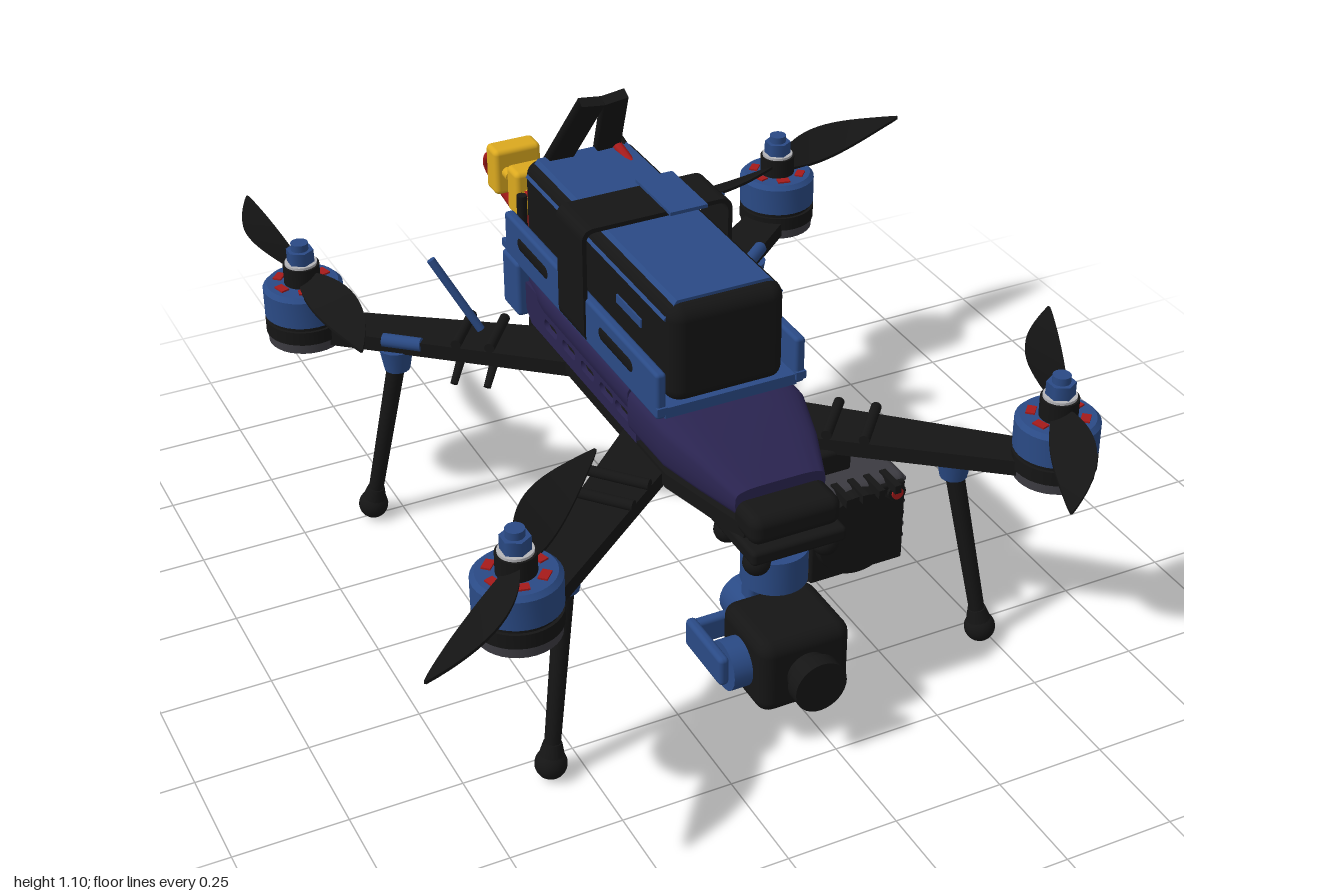
import * as THREE from 'three';
import { toCreasedNormals } from 'three/addons/utils/BufferGeometryUtils.js';
import { RoundedBoxGeometry } from 'three/addons/geometries/RoundedBoxGeometry.js';

const mat = (name, color, side = THREE.FrontSide) => {
  const m = new THREE.MeshStandardMaterial({ color, side });
  m.name = name;
  return m;
};
const V = (x, y, z) => new THREE.Vector3(x, y, z);
const CX = -0.05; // centre line of the airframe

export function createModel() {
  const black = mat('black', 0x151515), blue = mat('blue', 0x2a4a85), purple = mat('hull purple', 0x2a2450);
  const grey = mat('dark grey', 0x3c3b41), yellow = mat('yellow', 0xdba91f), red = mat('red', 0xa51a1a);
  const silver = mat('silver', 0xb4b4b8);
  const root = new THREE.Group();
  root.name = 'quadcopter';

  const add = (name, geo, m, x = 0, y = 0, z = 0, parent = root) => {
    const mesh = new THREE.Mesh(geo, m);
    mesh.name = name;
    mesh.position.set(x, y, z);
    parent.add(mesh);
    return mesh;
  };
  // box given by its limits, rounded when r > 0
  const box = (name, m, x0, x1, y0, y1, z0, z1, r = 0) => {
    const s = [x1 - x0, y1 - y0, z1 - z0];
    return add(name, r ? new RoundedBoxGeometry(...s, 3, r) : new THREE.BoxGeometry(...s), m,
      (x0 + x1) / 2, (y0 + y1) / 2, (z0 + z1) / 2);
  };
  // straight rod between two points
  const rod = (name, m, a, b, r0, r1 = r0, n = 16) => {
    const d = b.clone().sub(a);
    const mesh = add(name, new THREE.CylinderGeometry(r1, r0, d.length(), n), m);
    mesh.position.copy(a).lerp(b, 0.5);
    mesh.quaternion.setFromUnitVectors(V(0, 1, 0), d.normalize());
    return mesh;
  };
  const cable = (name, m, pts, r) =>
    add(name, new THREE.TubeGeometry(new THREE.CatmullRomCurve3(pts), 24, r, 8), m);
  // flat plate from an outline in x, z
  const plate = (name, m, pts, yTop, h) => {
    const g = new THREE.ExtrudeGeometry(new THREE.Shape(pts.map(p => new THREE.Vector2(...p))), { depth: h, bevelEnabled: false });
    return add(name, g.rotateX(Math.PI / 2), m, 0, yTop, 0);
  };
  // body lofted through rounded sections [z, half width, bottom, top]
  const loft = (sections, n = 32) => {
    const pos = [], idx = [], pw = v => Math.sign(v) * Math.abs(v) ** 0.45;
    for (const [z, w, y0, y1] of sections)
      for (let j = 0; j < n; j++) {
        const a = j / n * Math.PI * 2;
        pos.push(CX + w * pw(Math.cos(a)), (y0 + y1) / 2 + (y1 - y0) / 2 * pw(Math.sin(a)), z);
      }
    const last = sections.length - 1;
    for (let j = 0; j < n; j++) {
      const k = (j + 1) % n;
      for (let i = 0; i < last; i++) {
        const a = i * n + j, b = i * n + k;
        idx.push(a, b, a + n, b, b + n, a + n);
      }
      if (j && k) idx.push(0, k, j, last * n, last * n + j, last * n + k);
    }
    const g = new THREE.BufferGeometry();
    g.setAttribute('position', new THREE.Float32BufferAttribute(pos, 3));
    g.setIndex(idx);
    return toCreasedNormals(g, 0.7);
  };

  // hull: solid upper shell and nose, slotted skirts below
  add('hull', loft([[-0.38, 0.15, 0.58, 0.66], [-0.25, 0.17, 0.585, 0.665], [0.2, 0.172, 0.585, 0.665]]), purple);
  add('nose', loft([[0.2, 0.172, 0.53, 0.665], [0.36, 0.17, 0.53, 0.66], [0.47, 0.14, 0.53, 0.635], [0.57, 0.105, 0.53, 0.595]]), purple);
  const skirt = new THREE.Shape([[-0.38, 0.56], [-0.34, 0.525], [0.22, 0.525], [0.22, 0.62], [-0.38, 0.62]].map(p => new THREE.Vector2(...p)));
  for (const z of [-0.23, -0.13, -0.03, 0.07, 0.15]) {
    const w = 0.022, hole = new THREE.Path();
    hole.absarc(z + w, 0.567, 0.013, -Math.PI / 2, Math.PI / 2);
    hole.absarc(z - w, 0.567, 0.013, Math.PI / 2, Math.PI * 1.5);
    skirt.holes.push(hole);
  }
  for (const s of [-1, 1])
    add('hull skirt', new THREE.ExtrudeGeometry(skirt, { depth: 0.012, bevelEnabled: false }).rotateY(-Math.PI / 2), purple, CX + s * 0.155 + 0.006);

  // frame plates and standoffs
  plate('bottom plate', black, [[-0.21, -0.36], [-0.16, -0.42], [0.06, -0.42], [0.11, -0.36], [0.11, 0.36], [0.05, 0.6], [-0.15, 0.6], [-0.21, 0.36]], 0.53, 0.035);
  box('nose bumper', black, -0.155, 0.055, 0.5, 0.57, 0.55, 0.65, 0.025);
  for (const s of [-1, 1]) for (const z of [-0.3, -0.08, 0, 0.15])
    rod('standoff', black, V(CX + s * 0.11, 0.47, z), V(CX + s * 0.11, 0.53, z), 0.013);

  // battery tray with slotted sides
  box('battery tray', blue, -0.205, 0.105, 0.66, 0.685, -0.45, 0.35);
  for (const s of [-1, 1]) {
    const x = CX + s * 0.163;
    box('tray side', blue, x - 0.012, x + 0.012, 0.66, 0.77, -0.45, 0.35, 0.008);
    for (const z of [-0.29, 0.15]) {
      const slot = add('tray slot', new THREE.CapsuleGeometry(0.016, 0.14, 4, 10), black, CX + s * 0.174, 0.725, z);
      slot.rotation.x = Math.PI / 2;
      slot.scale.x = 0.2;
    }
    box('tray lip', blue, x - 0.012, x + 0.012, 0.672, 0.69, -0.47, 0.355);
    box('tail bracket', blue, x - 0.018, x + 0.018, 0.53, 0.67, -0.46, -0.37, 0.01);
    rod('tail post', black, V(CX + s * 0.13, 0.66, -0.45), V(CX + s * 0.13, 0.8, -0.45), 0.012);
  }
  box('tail plate', black, -0.2, 0.1, 0.62, 0.65, -0.46, -0.36);

  // battery pack with blue wrap on its top and bevels
  box('battery', black, -0.185, 0.085, 0.67, 0.905, -0.43, 0.34, 0.035);
  const wrap = new THREE.Shape([[-0.139, 0.868], [-0.108, 0.908], [0.108, 0.908], [0.139, 0.868], [0.13, 0.86], [-0.13, 0.86]].map(p => new THREE.Vector2(...p)));
  add('battery wrap', new THREE.ExtrudeGeometry(wrap, { depth: 0.71, bevelEnabled: false }), blue, CX, 0.003, -0.4);
  for (const s of [-1, 1]) box('side label', blue, CX + s * 0.136 - 0.003, CX + s * 0.136 + 0.003, 0.795, 0.815, 0.08, 0.2);

  // strap loop and its buckle
  const rr = (w, h, r, P) => {
    const p = new P();
    p.moveTo(-w + r, -h);
    p.lineTo(w - r, -h); p.quadraticCurveTo(w, -h, w, -h + r);
    p.lineTo(w, h - r); p.quadraticCurveTo(w, h, w - r, h);
    p.lineTo(-w + r, h); p.quadraticCurveTo(-w, h, -w, h - r);
    p.lineTo(-w, -h + r); p.quadraticCurveTo(-w, -h, -w + r, -h);
    return p;
  };
  const strap = rr(0.18, 0.14, 0.03, THREE.Shape);
  strap.holes.push(rr(0.17, 0.13, 0.024, THREE.Path));
  add('battery strap', new THREE.ExtrudeGeometry(strap, { depth: 0.135, bevelEnabled: false }), black, CX, 0.797, -0.135);
  box('strap buckle', blue, -0.03, 0.06, 0.936, 0.944, -0.155, 0.02);

  // pair of leaning flat antennas
  for (const s of [-1, 1]) {
    const a = V(CX + s * 0.065, 0.88, -0.41), b = V(CX + s * 0.028, 1.09, -0.275);
    const bar = rod('rear antenna', black, a, b, 0.035, 0.035, 4);
    bar.geometry.rotateY(Math.PI / 4).scale(1.15, 1, 0.5);
  }

  // arms, motors, propellers and legs
  const bladeGeo = new THREE.BoxGeometry(1, 0.007, 1, 16, 1, 6);
  const bp = bladeGeo.attributes.position;
  for (let i = 0; i < bp.count; i++) {
    const t = bp.getX(i) + 0.5, u = bp.getZ(i), y = bp.getY(i);
    const chord = (0.035 + 0.06 * Math.sin(Math.PI * Math.min(1, t * 1.05) ** 0.8)) * Math.sqrt(Math.max(0.02, 1 - t ** 6));
    const twist = 0.55 - 0.4 * t, c = u * chord;
    bp.setXYZ(i, 0.02 + 0.38 * t, y - c * Math.sin(twist) + 0.012 * t, c * Math.cos(twist) - 0.02 * Math.sin(Math.PI * t));
  }
  bladeGeo.computeVertexNormals();
  const spins = [[-1, -1, Math.PI / 2], [1, -1, 0.2], [-1, 1, 0.75], [1, 1, 1.04]];
  for (const [sx, sz, spin] of spins) {
    const mx = CX + sx * 0.62, mz = sz < 0 ? -0.6 : 0.65;
    const ix = CX + sx * 0.1, iz = sz < 0 ? -0.2 : 0.2;
    const d = new THREE.Vector2(mx - ix, mz - iz).normalize(), n = [-d.y, d.x];
    const pt = (x, z, w) => [x + n[0] * w, z + n[1] * w];
    plate('arm', black, [pt(ix, iz, -0.075), pt(mx, mz, -0.045), pt(mx, mz, 0.045), pt(ix, iz, 0.075)], 0.522, 0.036);

    const motor = new THREE.Group();
    motor.name = 'motor';
    motor.position.set(mx, 0, mz);
    root.add(motor);
    const cyl = (name, m, r, y0, y1, k = 32) =>
      add(name, new THREE.CylinderGeometry(r, r, y1 - y0, k), m, 0, (y0 + y1) / 2, 0, motor);
    cyl('motor mount', grey, 0.088, 0.478, 0.502);
    cyl('motor mount top', black, 0.092, 0.502, 0.535);
    cyl('stator', black, 0.085, 0.535, 0.55);
    const bell = [[0, 0.546], [0.092, 0.546], [0.092, 0.612], [0.082, 0.622], [0, 0.622]].map(p => new THREE.Vector2(...p));
    add('motor bell', toCreasedNormals(new THREE.LatheGeometry(bell, 32), 0.5), blue, 0, 0, 0, motor);
    for (let i = 0; i < 6; i++) {
      const a = i * Math.PI / 3 + 0.3;
      const w = add('winding', new THREE.BoxGeometry(0.02, 0.006, 0.03), red, Math.cos(a) * 0.058, 0.623, -Math.sin(a) * 0.058, motor);
      w.rotation.y = a;
    }
    cyl('propeller hub', black, 0.042, 0.62, 0.668);
    cyl('washer', silver, 0.037, 0.668, 0.674);
    cyl('propeller nut', blue, 0.032, 0.674, 0.705, 6);
    cyl('nut cap', blue, 0.02, 0.705, 0.722);
    for (const k of [0, 1])
      add('propeller blade', bladeGeo, black, 0, 0.638, 0, motor).rotation.y = spin + k * Math.PI;

    // landing leg
    const top = V(CX + sx * 0.46, 0.45, sz < 0 ? -0.44 : 0.51), foot = V(CX + sx * 0.525, 0.035, sz < 0 ? -0.495 : 0.56);
    rod('leg', black, foot, top, 0.017, 0.021);
    rod('leg clamp', blue, V(top.x, 0.432, top.z), V(top.x, 0.488, top.z), 0.03, 0.04);
    add('foot', new THREE.SphereGeometry(0.035, 20, 14), black, foot.x, foot.y, foot.z);
    rod('foot collar', black, foot, foot.clone().lerp(top, 0.12), 0.033, 0.02);

    // cable ties on the arm
    for (const t of [0.3, 0.42]) {
      const x = ix + (mx - ix) * t, z = iz + (mz - iz) * t;
      rod('cable tie', black, V(x - n[0] * 0.07, 0.535, z - n[1] * 0.07), V(x + n[0] * 0.07, 0.535, z + n[1] * 0.07), 0.012);
      if (sz < 0) rod('tie tail', black, V(x, 0.49, z), V(x + sx * 0.05, 0.43, z + 0.05), 0.012, 0.009, 8);
    }
    if (sz < 0) { // slim aerials on the rear arms
      rod('arm aerial', blue, V(CX + sx * 0.28, 0.53, -0.36), V(CX + sx * 0.37, 0.705, -0.42), 0.01);
      rod('arm clip', blue, V(CX + sx * 0.42, 0.515, -0.38), V(CX + sx * 0.49, 0.515, -0.44), 0.016);
    }
  }

  // stabilised camera under the nose
  box('damper plate', black, -0.16, 0.06, 0.465, 0.5, 0.46, 0.66, 0.01);
  for (const s of [-1, 1]) for (const z of [0.49, 0.62])
    add('damper ball', new THREE.SphereGeometry(0.03, 16, 12), black, CX + s * 0.08, 0.448, z);
  rod('yaw motor', blue, V(CX, 0.34, 0.55), V(CX, 0.42, 0.55), 0.072, 0.072, 32);
  rod('yaw shaft', black, V(CX, 0.42, 0.55), V(CX, 0.47, 0.55), 0.04);
  box('gimbal post', blue, -0.08, -0.02, 0.17, 0.36, 0.455, 0.5, 0.012);
  rod('roll motor', blue, V(CX, 0.2, 0.41), V(CX, 0.2, 0.5), 0.055, 0.055, 24);
  box('gimbal arm rear', blue, -0.22, -0.05, 0.17, 0.23, 0.475, 0.5, 0.01);
  box('gimbal arm side', blue, -0.222, -0.198, 0.165, 0.235, 0.475, 0.64, 0.01);
  rod('pitch motor', blue, V(-0.2, 0.195, 0.61), V(-0.15, 0.195, 0.61), 0.055, 0.055, 24);
  box('camera body', black, -0.157, 0.057, 0.105, 0.285, 0.51, 0.705, 0.032);
  rod('camera lens', black, V(CX, 0.195, 0.69), V(CX, 0.195, 0.735), 0.048, 0.048, 32);
  rod('lens hood', black, V(CX, 0.195, 0.73), V(CX, 0.195, 0.765), 0.06, 0.06, 32);

  // finned lamp hung beside the body
  box('lamp housing', grey, 0.07, 0.32, 0.215, 0.44, 0.16, 0.47, 0.02);
  for (let i = 0; i < 6; i++) box('lamp fin', grey, 0.06, 0.335, 0.25 + i * 0.03, 0.258 + i * 0.03, 0.18, 0.44);
  box('lamp face', black, 0.08, 0.31, 0.225, 0.43, 0.465, 0.479, 0.006);
  rod('lamp bezel', black, V(0.19, 0.335, 0.47), V(0.19, 0.335, 0.495), 0.105, 0.1, 40);
  for (const x of [0.092, 0.285]) {
    rod('lamp screw ring', black, V(x, 0.408, 0.47), V(x, 0.408, 0.486), 0.022);
    rod('lamp screw', red, V(x, 0.408, 0.47), V(x, 0.408, 0.49), 0.014);
  }
  for (let i = 0; i < 5; i++) box('lamp front tab', black, 0.105 + i * 0.04, 0.12 + i * 0.04, 0.425, 0.445, 0.44, 0.51);
  box('lamp mount', black, 0.08, 0.22, 0.435, 0.495, 0.24, 0.4, 0.01);
  cable('lamp cable', black, [V(0.15, 0.35, 0.18), V(0.15, 0.355, 0.11), V(0.15, 0.385, 0.06), V(0.15, 0.44, 0.04)], 0.014);

  // power connectors at the tail
  for (const z of [-0.515, -0.64]) {
    box('power connector', yellow, -0.178, -0.06, 0.72, 0.835, z - 0.03, z + 0.03, 0.012);
    for (const x of [-0.148, -0.09]) rod('connector pin', yellow, V(x, 0.778, z - 0.02), V(x, 0.778, z + 0.055), 0.014);
  }
  for (const [x, m] of [[-0.148, red], [-0.09, black]]) {
    cable('power lead', m, [V(x, 0.778, -0.66), V(x, 0.775, -0.71), V(x + 0.01, 0.73, -0.75), V(x + 0.04, 0.66, -0.71), V(x + 0.06, 0.61, -0.58), V(x + 0.06, 0.6, -0.42)], 0.014);
    cable('battery lead', m, [V(x, 0.778, -0.49), V(x, 0.78, -0.46), V(x, 0.77, -0.42)], 0.014);
  }
  cable('balance lead', black, [V(0.05, 0.89, -0.36), V(0.05, 0.905, -0.43), V(0.05, 0.85, -0.47), V(0.05, 0.76, -0.43)], 0.014);
  cable('red lead', red, [V(0.03, 0.9, -0.3), V(0.03, 0.91, -0.4), V(0.03, 0.86, -0.45), V(0.03, 0.76, -0.43)], 0.012);

  // capacitor
  rod('capacitor', black, V(-0.02, 0.59, -0.69), V(-0.02, 0.58, -0.84), 0.038, 0.038, 24);
  rod('capacitor end', silver, V(-0.02, 0.58, -0.838), V(-0.02, 0.58, -0.844), 0.034, 0.034, 24);
  cable('capacitor lead', black, [V(-0.02, 0.59, -0.7), V(0, 0.61, -0.6), V(0, 0.62, -0.44)], 0.012);
  return root;
}
